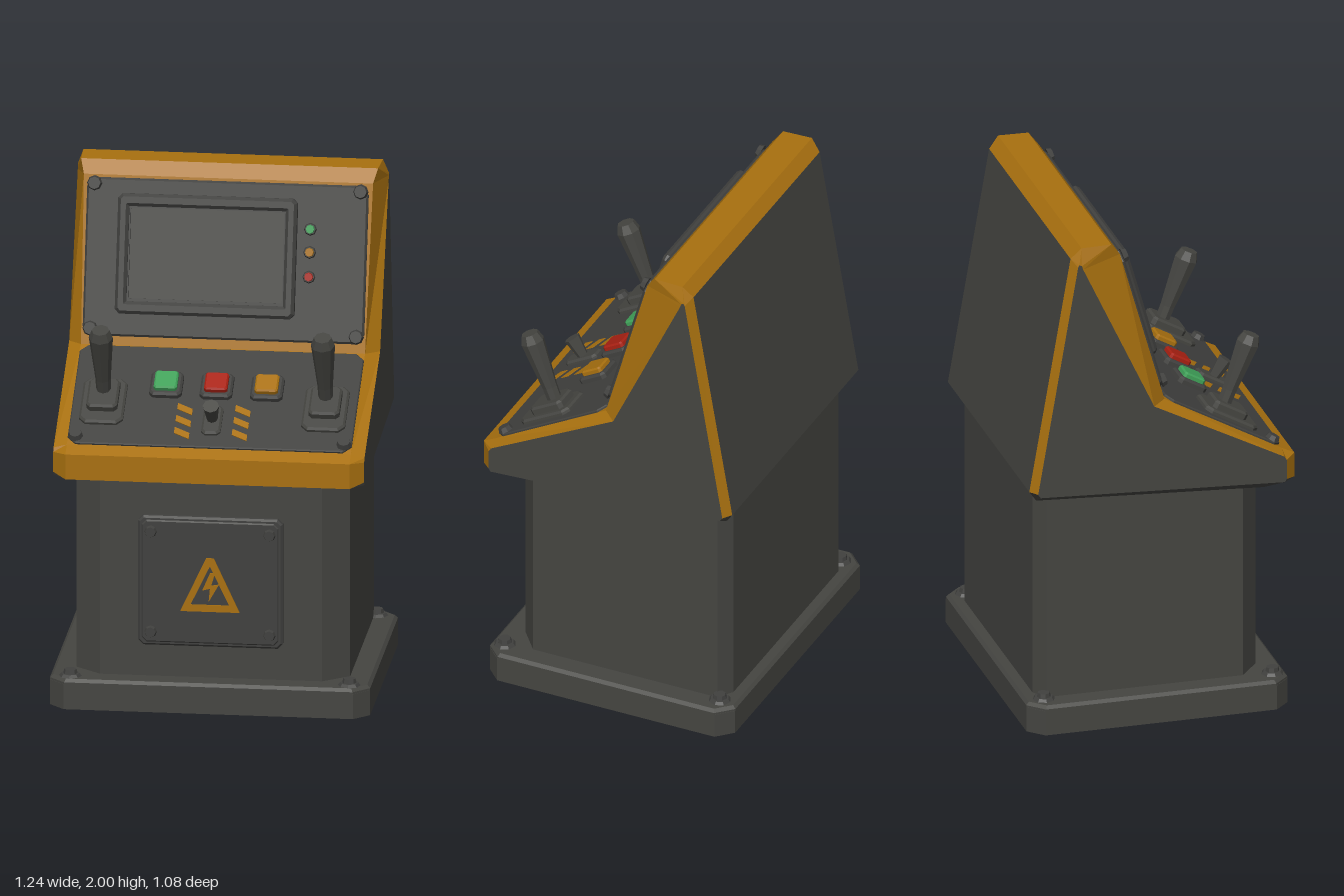
import * as THREE from 'three';

const mat = (name, color, extra = {}) => {
  const m = new THREE.MeshStandardMaterial({ color, flatShading: true, ...extra });
  m.name = name;
  return m;
};

export function createModel() {
  const body = mat('body grey', 0x454541, { side: THREE.DoubleSide });
  const panel = mat('panel grey', 0x40403e);
  const orange = mat('trim orange', 0xa8700f);
  const green = mat('button green', 0x3fa058);
  const red = mat('button red', 0xa82012);

  const root = new THREE.Group();
  const add = (parent, name, geo, m, x = 0, y = 0, z = 0) => {
    const mesh = new THREE.Mesh(geo, m);
    mesh.name = name;
    mesh.position.set(x, y, z);
    parent.add(mesh);
    return mesh;
  };
  const poly = pts => pts.map(p => new THREE.Vector2(p[0], p[1]));

  // Rectangle with cut corners: (fx, fy) at the bottom edge, (bx, by) at the top edge
  const cutRect = (w, h, fx, fy = fx, bx = fx, by = fy) => {
    const x = w / 2, y = h / 2;
    return poly([[-x + fx, -y], [x - fx, -y], [x, -y + fy], [x, y - by],
      [x - bx, y], [-x + bx, y], [-x, y - by], [-x, -y + fy]]);
  };
  const extrude = (pts, depth, hole, bevel = 0) => {
    const s = new THREE.Shape(pts);
    if (hole) s.holes.push(new THREE.Path(hole));
    return new THREE.ExtrudeGeometry(s, { depth, bevelEnabled: bevel > 0,
      bevelThickness: bevel, bevelSize: bevel, bevelSegments: 1 });
  };
  // Bevelled plate facing +z whose front lies at z = d
  const slab = (w, h, d, cut = 0.01, b = 0.008) => extrude(cutRect(w - 2 * b, h - 2 * b, cut), d - b, null, b);
  const bolt = (r, h) => new THREE.CylinderGeometry(r * 0.8, r, h, 8).rotateX(Math.PI / 2).translate(0, 0, h / 2);

  // Hollow base with a bevelled top and bolts
  const base = new THREE.Group();
  base.name = 'base';
  root.add(base);
  const flat = g => g.rotateX(-Math.PI / 2);
  add(base, 'baseWall', flat(extrude(cutRect(1.24, 1.045, 0.06), 0.1, cutRect(1.2, 1.005, 0.05))), body, 0, 0, -0.0125);
  add(base, 'baseTop', flat(extrude(cutRect(1.216, 1.021, 0.055), 0.008, cutRect(1.0, 0.84, 0.08), 0.012)), body, 0, 0.1, -0.0125);
  for (const x of [-0.54, 0.54]) for (const z of [-0.46, 0.455]) {
    add(base, 'baseBolt', flat(bolt(0.045, 0.012)), panel, x, 0.119, z);
    add(base, 'baseBolt', flat(bolt(0.03, 0.028)), panel, x, 0.119, z);
  }

  // Pedestal shell
  add(root, 'pedestal', flat(extrude(cutRect(1.06, 0.905, 0.1, 0.08, 0.06, 0.04), 0.86,
    cutRect(1.03, 0.875, 0.09, 0.07, 0.055, 0.035))), body, 0, 0.1, -0.0325);

  // Service door with warning sign
  const door = new THREE.Group();
  door.name = 'serviceDoor';
  door.position.set(0, 0.51, 0.415);
  root.add(door);
  add(door, 'doorPlate', slab(0.56, 0.52, 0.03, 0.015), panel);
  add(door, 'doorInset', slab(0.53, 0.49, 0.036, 0.015, 0.005), panel);
  for (const x of [-0.23, 0.23]) for (const y of [-0.203, 0.2]) add(door, 'doorBolt', bolt(0.025, 0.016), panel, x, y, 0.034);
  add(door, 'warningTriangle', extrude(poly([[-0.115, -0.115], [0.115, -0.115], [0.015, 0.1], [-0.015, 0.1]]), 0.008,
    poly([[-0.075, -0.088], [0.075, -0.088], [0, 0.068]])), orange, 0, 0, 0.034);
  add(door, 'warningBolt', extrude(poly([[0.0, 0.04], [-0.03, -0.03], [0.0, -0.022], [-0.005, -0.075],
    [0.035, -0.005], [0.005, -0.01], [0.02, 0.04]]), 0.008), orange, 0, 0, 0.034);

  // Head: outer profile [z, y, half width] and smaller side profile [z, y], joined by chamfers
  const outer = [[0.42, 0.9, 0.54], [0.54, 0.935, 0.55], [0.54, 1.035, 0.55], [0.49, 1.06, 0.55],
    [0.02, 1.32, 0.55], [-0.161, 1.95, 0.56], [-0.2, 2, 0.575], [-0.32, 2, 0.58],
    [-0.36, 1.955, 0.565], [-0.525, 1, 0.565], [-0.49, 0.95, 0.54]];
  const side = [[0.488, 0.938], [0.495, 0.95], [0.495, 1.03], [0.485, 1.045], [-0.035, 1.315], [-0.32, 1.92],
    [-0.325, 1.935], [-0.335, 1.94], [-0.34, 1.93], [-0.5, 1], [-0.49, 0.985]];
  const rings = outer.map(([z, y, w], i) => {
    const [sz, sy] = side[i];
    return [[-0.602, sy, sz], [-w, y, z], [w, y, z], [0.602, sy, sz]];
  });
  const dark = [], trim = [];
  rings.forEach((a, i) => {
    const b = rings[(i + 1) % rings.length];
    for (let k = 0; k < 3; k++) {
      const isDark = [0, 9, 10].includes(i) || (i === 8 && k === 1);
      (isDark ? dark : trim).push(...a[k], ...a[k + 1], ...b[k + 1], ...a[k], ...b[k + 1], ...b[k]);
    }
  });
  const faces = v => {
    const g = new THREE.BufferGeometry();
    g.setAttribute('position', new THREE.Float32BufferAttribute(v, 3));
    g.computeVertexNormals();
    return g;
  };
  const head = new THREE.Group();
  head.name = 'head';
  root.add(head);
  add(head, 'headBackAndUnderside', faces(dark), body);
  add(head, 'headTrim', faces(trim), orange);
  for (const s of [-1, 1]) {
    const g = new THREE.ShapeGeometry(new THREE.Shape(poly(side.map(([z, y]) => [-s * z, y]))));
    add(head, 'sidePanel', g.rotateY(s * Math.PI / 2), body, s * 0.602);
  }

  // Screen panel, in a frame lying on the sloped front
  const screen = new THREE.Group();
  screen.name = 'screenPanel';
  screen.position.set(0, 1.32, 0.02);
  screen.rotation.x = -0.28;
  root.add(screen);
  add(screen, 'screenPlate', slab(1.09, 0.61, 0.015, 0.03), panel, 0, 0.34);
  for (const x of [-0.515, 0.515]) for (const y of [0.063, 0.622]) add(screen, 'screenBolt', bolt(0.03, 0.02), panel, x, y, 0.013);
  add(screen, 'bezel', extrude(cutRect(0.67, 0.44, 0.01), 0.028, cutRect(0.63, 0.39, 0.005), 0.012), panel, -0.0725, 0.355, 0.014);
  add(screen, 'displayFrame', extrude(cutRect(0.64, 0.4, 0.005), 0.022, cutRect(0.595, 0.35, 0.005)), panel, -0.0725, 0.358, 0.012);
  add(screen, 'display', new THREE.BoxGeometry(0.63, 0.39, 0.008), body, -0.0725, 0.358, 0.018);
  [[green, 0.472], [orange, 0.383], [red, 0.288]].forEach(([m, y]) => {
    add(screen, 'lampRing', bolt(0.026, 0.012), panel, 0.325, y, 0.013);
    add(screen, 'lamp', bolt(0.02, 0.022), m, 0.325, y, 0.013);
  });

  // Control console, in a frame lying on the lower slope
  const desk = new THREE.Group();
  desk.name = 'controlConsole';
  desk.position.set(0, 1.06, 0.49);
  desk.rotation.x = -1.066;
  root.add(desk);
  add(desk, 'consolePlate', slab(1.1, 0.525, 0.01, 0.03, 0.004), panel, 0, 0.266);
  for (const x of [-0.52, 0.52]) add(desk, 'consoleBolt', bolt(0.03, 0.02), panel, x, 0.04, 0.009);

  // Joysticks
  for (const x of [-0.43, 0.43]) {
    const joy = new THREE.Group();
    joy.name = 'joystick';
    joy.position.set(x, 0.22, 0.008);
    desk.add(joy);
    add(joy, 'joystickPlate', slab(0.17, 0.235, 0.02, 0.02), body);
    add(joy, 'joystickCollar', slab(0.12, 0.15, 0.05, 0.01), body, 0, 0.012);
    const stick = add(joy, 'joystickHandle', new THREE.LatheGeometry(
      poly([[0, 0], [0.028, 0], [0.03, 0.1], [0.047, 0.3], [0.034, 0.335], [0, 0.335]]), 8).rotateX(Math.PI / 2), body, 0, 0.025, 0);
    stick.rotation.x = -0.13;
  }

  // Push buttons
  [[-0.195, green], [0, red], [0.195, orange]].forEach(([x, m]) => {
    add(desk, 'buttonFrame', slab(0.125, 0.125, 0.028, 0.01), panel, x, 0.318, 0.006);
    add(desk, 'button', slab(0.09, 0.092, 0.048, 0.005, 0.006), m, x, 0.318, 0.006);
  });

  // Toggle lever
  add(desk, 'togglePlate', slab(0.075, 0.15, 0.02, 0.01), body, 0, 0.14, 0.006);
  const lever = add(desk, 'toggleLever', new THREE.CylinderGeometry(0.032, 0.02, 0.09, 8)
    .rotateX(Math.PI / 2).translate(0, 0, 0.045), body, 0, 0.14, 0.015);
  lever.rotation.x = 0.1;

  // Hazard stripes beside the toggle
  for (const s of [-1, 1]) for (let i = 0; i < 3; i++) {
    const pts = [[0.03, 0], [0.03, 0.032], [-0.03, 0.062], [-0.03, 0.03]];
    add(desk, 'hazardStripe', extrude(poly(pts), 0.004), orange, s * 0.112, 0.04 + i * 0.064, 0.009);
  }
  return root;
}
